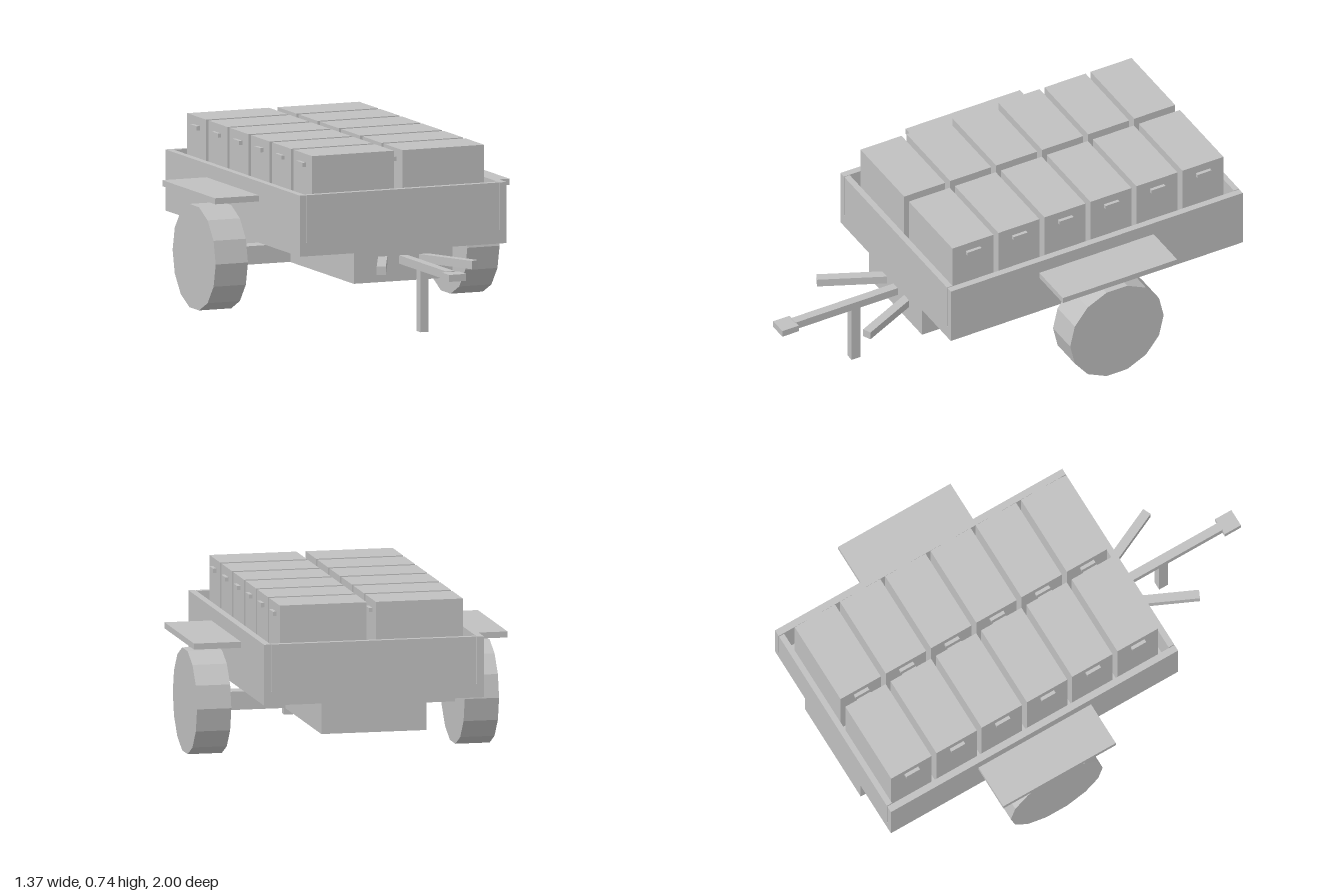
import * as THREE from 'three';

export function createModel() {
  const model = new THREE.Group();
  model.name = 'cargoTrailer';
  const grey = new THREE.MeshStandardMaterial({ color: 0xc0c0c0 });
  grey.name = 'plainGrey';

  function add(name, geometry, parent = model) {
    const mesh = new THREE.Mesh(geometry, grey);
    mesh.name = name;
    parent.add(mesh);
    return mesh;
  }
  // Box given by its limits on each axis
  function block(name, [x0, x1], [y0, y1], [z0, z1], parent) {
    const mesh = add(name, new THREE.BoxGeometry(x1 - x0, y1 - y0, z1 - z0), parent);
    mesh.position.set((x0 + x1) / 2, (y0 + y1) / 2, (z0 + z1) / 2);
    return mesh;
  }

  const back = -1, front = 0.425, floor = 0.38, rim = 0.585;
  const axleZ = -0.285;

  // Bed: stepped hull with an open trough, one cross-section along z
  const half = [[0.23, 0.19], [0.23, 0.322], [0.48, 0.322], [0.48, rim], [0.45, rim], [0.45, floor]];
  const outline = [...half, ...half.map(([x, y]) => [-x, y]).reverse()];
  const profile = new THREE.Shape(outline.map(([x, y]) => new THREE.Vector2(x, y)));
  add('bed', new THREE.ExtrudeGeometry(profile, { depth: front - back, bevelEnabled: false })).position.z = back;

  // End boards close the trough, with a fine gap at each corner
  block('frontBoard', [-0.447, 0.447], [floor, rim], [front - 0.027, front]);
  block('backBoard', [-0.447, 0.447], [floor, rim], [back, back + 0.025]);

  // Crates: two columns of six, each with a handle at both ends
  const crates = new THREE.Group();
  crates.name = 'crates';
  model.add(crates);
  for (let row = 0; row < 6; row++) {
    const z = 0.272 - row * 0.2245;
    for (const side of [1, -1]) {
      const crate = new THREE.Group();
      crate.name = 'crate';
      crate.position.set(side * 0.21, 0, z);
      crates.add(crate);
      block('crateBox', [-0.19, 0.19], [floor, 0.743], [-0.1, 0.1], crate);
      block('crateHandle', [0.19, 0.205], [0.688, 0.706], [-0.034, 0.034], crate);
      block('crateHandle', [-0.205, -0.19], [0.688, 0.706], [-0.034, 0.034], crate);
    }
  }

  // Fourteen-sided wheels with flat facets, stub axles and mudguards
  let wheel = new THREE.CylinderGeometry(0.228, 0.228, 0.15, 14).rotateZ(Math.PI / 2).toNonIndexed();
  wheel.computeVertexNormals();
  for (const side of [1, -1]) {
    const name = side > 0 ? 'left' : 'right';
    const span = (a, b) => (side > 0 ? [a, b] : [-b, -a]);
    add(name + 'Wheel', wheel).position.set(side * 0.585, 0.232, axleZ);
    block(name + 'Axle', span(0.2, 0.52), [0.191, 0.27], [axleZ - 0.04, axleZ + 0.04]);
    block(name + 'Mudguard', span(0.47, 0.685), [0.5, 0.526], [-0.565, -0.007]);

    // Splayed trail bars beside the drawbar
    const start = new THREE.Vector2(side * 0.084, 0.4), end = new THREE.Vector2(side * 0.218, 0.688);
    const bar = add(name + 'TrailBar', new THREE.BoxGeometry(0.039, 0.036, start.distanceTo(end)));
    bar.position.set((start.x + end.x) / 2, 0.282, (start.y + end.y) / 2);
    bar.rotation.y = Math.atan2(end.x - start.x, end.y - start.y);
  }

  // Drawbar, hitch and prop leg
  block('drawbar', [-0.019, 0.019], [0.264, 0.3], [0.4, 0.925]);
  block('hitch', [-0.04, 0.04], [0.267, 0.297], [0.92, 1]);
  block('propLeg', [-0.019, 0.019], [0, 0.27], [0.607, 0.65]);

  return model;
}
